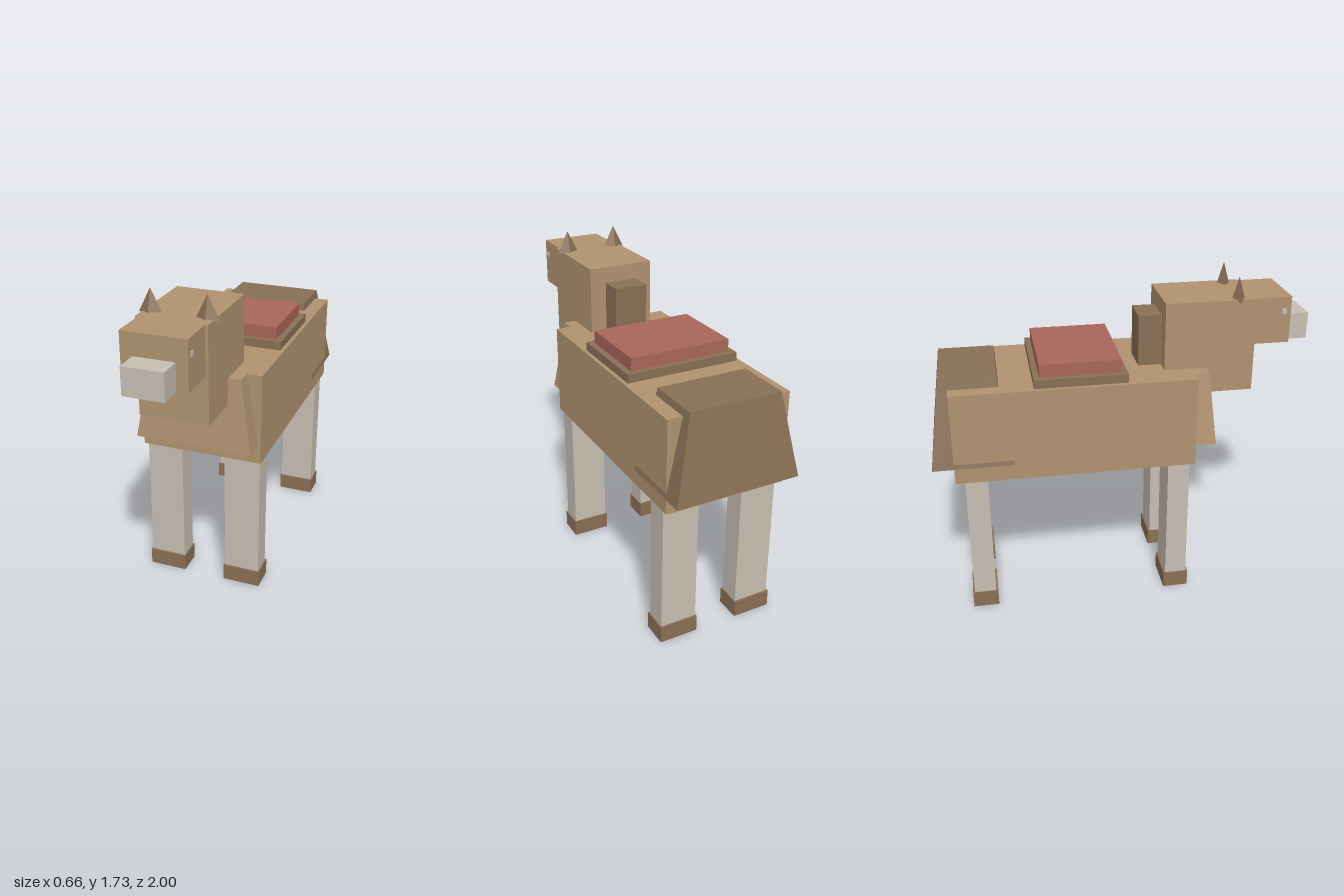
import * as THREE from 'three';

const mat = (name, color) => {
  const m = new THREE.MeshStandardMaterial({ color });
  m.name = name;
  return m;
};

export function createModel() {
  const group = new THREE.Group();
  const tan = mat('tan coat', 0xb09270);
  const brown = mat('dark brown', 0x8a6f55);
  const pale = mat('pale grey', 0xc8beb2);
  const red = mat('saddle red', 0xa96559);

  const add = (name, geometry, material) => {
    const mesh = new THREE.Mesh(geometry, material);
    mesh.name = name;
    group.add(mesh);
    return mesh;
  };

  // Box between two limits on each axis
  const box = (name, material, [x0, x1], [y0, y1], [z0, z1]) => {
    const g = new THREE.BoxGeometry(x1 - x0, y1 - y0, z1 - z0);
    g.translate((x0 + x1) / 2, (y0 + y1) / 2, (z0 + z1) / 2);
    return add(name, g, material);
  };

  // Box with different extents at its bottom and top: [half width, back z, front z]
  const taper = (name, material, y0, y1, bottom, top) => {
    const g = new THREE.BoxGeometry(1, 1, 1);
    const p = g.attributes.position;
    for (let i = 0; i < p.count; i++) {
      const up = p.getY(i) > 0;
      const [w, back, front] = up ? top : bottom;
      p.setXYZ(i, Math.sign(p.getX(i)) * w, up ? y1 : y0, p.getZ(i) > 0 ? front : back);
    }
    g.computeVertexNormals();
    return add(name, g, material);
  };

  // Trunk, chest and rump cover
  box('body', tan, [-0.325, 0.325], [0.78, 1.265], [-0.89, 0.36]);
  taper('chest', tan, 0.88, 1.264, [0.31, 0.2, 0.473], [0.245, 0.24, 0.437]);
  taper('rump', brown, 0.865, 1.302, [0.33, -0.585, -1].map((v, i, a) => (i ? a[3 - i] : v)), [0.24, -0.938, -0.645]);

  // Saddle
  box('saddlePad', brown, [-0.305, 0.305], [1.26, 1.31], [-0.47, 0.005]);
  box('saddle', red, [-0.272, 0.272], [1.31, 1.377], [-0.44, -0.025]);

  // Head
  box('neck', tan, [-0.178, 0.178], [1.125, 1.62], [0.215, 0.69]);
  box('face', tan, [-0.163, 0.163], [1.373, 1.62], [0.68, 0.88]);
  box('muzzle', pale, [-0.103, 0.103], [1.367, 1.507], [0.81, 1]);
  box('mane', brown, [-0.09, 0.09], [1.2, 1.535], [0.093, 0.22]);

  for (const [side, s] of [['left', 1], ['right', -1]]) {
    const span = (a, b) => (s > 0 ? [a, b] : [-b, -a]);

    // Eyes and pointed ears
    box(side + 'Eye', pale, span(0.16, 0.168), [1.53, 1.557], [0.832, 0.856]);
    const ear = new THREE.ConeGeometry(0.06, 0.12, 4).toNonIndexed();
    ear.scale(1, 1, 0.58);
    ear.computeVertexNormals();
    ear.translate(s * 0.141, 1.672, 0.6);
    add(side + 'Ear', ear, brown);

    // Legs and hooves
    for (const [end, z] of [['Front', 0.275], ['Back', -0.785]]) {
      box(side + end + 'Leg', pale, span(0.12, 0.314), [0.08, 0.79], [z - 0.058, z + 0.058]);
      box(side + end + 'Hoof', brown, span(0.115, 0.321), [0, 0.09], [z - 0.068, z + 0.068]);
    }
  }
  return group;
}
